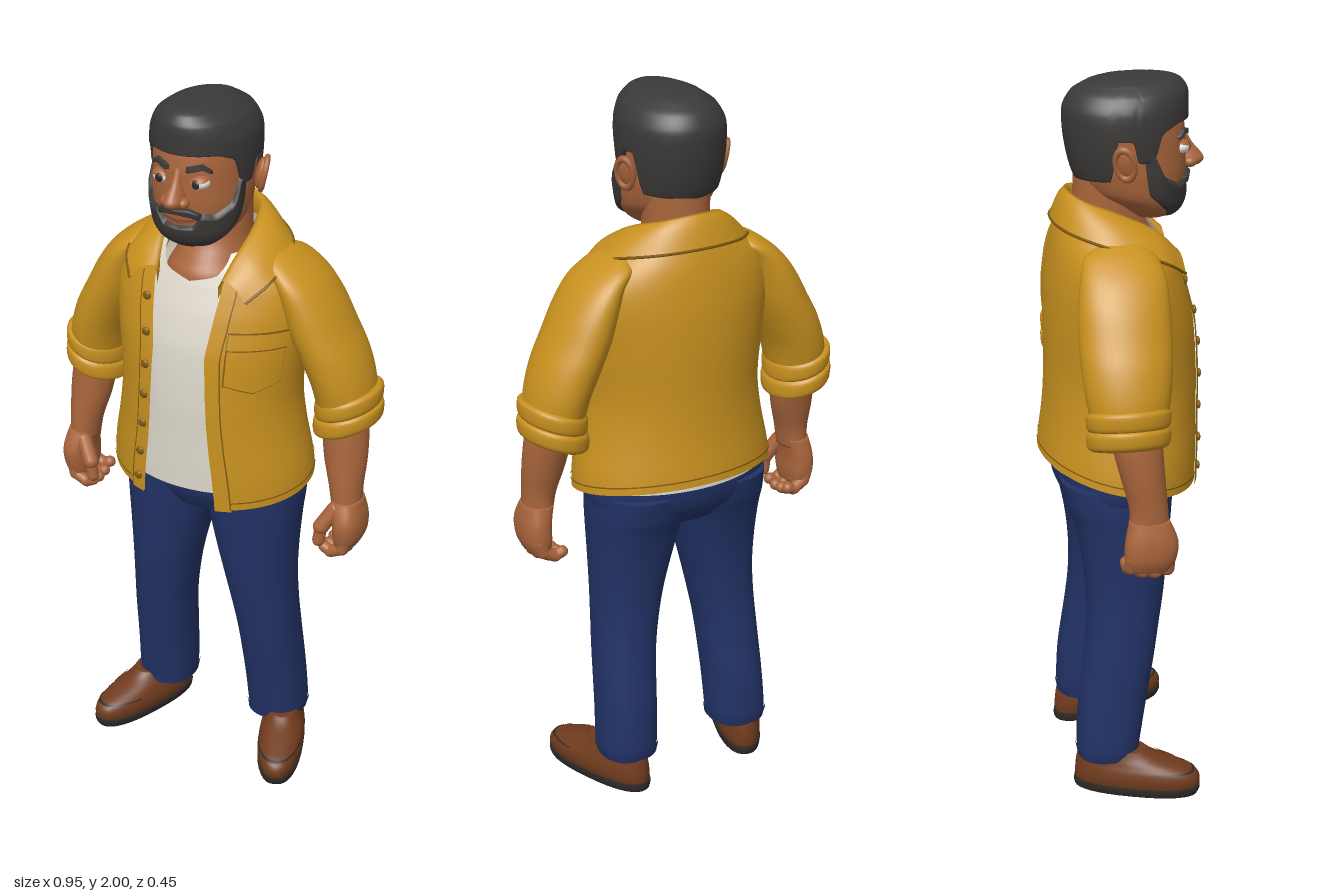
import * as THREE from 'three';
import { mergeVertices } from 'three/addons/utils/BufferGeometryUtils.js';

const { lerp, clamp } = THREE.MathUtils;
const V = (x, y, z) => new THREE.Vector3(x, y, z);

function paint(name, color, open) {
  const m = new THREE.MeshStandardMaterial({ color });
  m.name = name;
  if (open) m.side = THREE.DoubleSide;
  return m;
}

// Smooth surface from a rule fn(u, v) -> Vector3
function surface(fn, n, m) {
  const pos = [], idx = [];
  for (let j = 0; j <= m; j++) for (let i = 0; i <= n; i++) pos.push(...fn(i / n, j / m).toArray());
  for (let j = 0; j < m; j++) for (let i = 0; i < n; i++) {
    const a = j * (n + 1) + i, d = a + n + 1;
    idx.push(a, a + 1, d, a + 1, d + 1, d);
  }
  let g = new THREE.BufferGeometry();
  g.setAttribute('position', new THREE.Float32BufferAttribute(pos, 3));
  g.setIndex(idx);
  g = mergeVertices(g, 1e-4);
  g.computeVertexNormals();
  return g;
}

// A ring is [y, xMin, xMax, zBack, zFront]; rings run from bottom to top
const sym = rows => rows.map(([y, h, b, f]) => [y, -h, h, b, f]);
const side = (rows, s) => rows.map(([y, a, c, b, f]) => (s > 0 ? [y, a, c, b, f] : [y, -c, -a, b, f]));

function ringAt(rings, k) {
  const i = clamp(Math.floor(k), 0, rings.length - 2), f = k - i;
  return rings[0].map((_, c) => {
    const [p, q, r, s] = [i - 1, i, i + 1, i + 2].map(j => rings[clamp(j, 0, rings.length - 1)][c]);
    return 0.5 * (2 * q + (r - p) * f + (2 * p - 5 * q + 4 * r - s) * f * f + (3 * q - p - 3 * r + s) * f ** 3);
  });
}

// Angle 0 is the front, a quarter turn is +x
function ringPoint([y, x0, x1, z0, z1], t, off = 0, p = 2) {
  const e = v => Math.sign(v) * Math.abs(v) ** (2 / p);
  return V((x0 + x1) / 2 + ((x1 - x0) / 2 + off) * e(Math.sin(t)), y,
    (z0 + z1) / 2 + ((z1 - z0) / 2 + off) * e(Math.cos(t)));
}

// Closed body through the rings, with capped ends
function loft(rings, { n = 36, sub = 5, p = 2, tilt = 0 } = {}) {
  const m = (rings.length - 1) * sub + 2;
  return surface((u, v) => {
    const j = Math.round(v * m);
    const r = ringAt(rings, clamp((j - 1) / sub, 0, rings.length - 1));
    const cx = (r[1] + r[2]) / 2;
    const pt = j === 0 || j === m ? V(cx, r[0], (r[3] + r[4]) / 2) : ringPoint(r, u * Math.PI * 2, 0, p);
    pt.y += tilt * (pt.x - cx);
    return pt;
  }, n, m);
}

// Sheet lying over the rings between two angles and two heights
function patch(rings, { t, lo, hi, off = 0, n = 24, m = 8, p = 2, range = () => t }) {
  const val = (f, ...a) => (typeof f === 'function' ? f(...a) : f);
  return surface((u, v) => {
    const nominal = lerp(t[0], t[1], u);
    const y = lerp(val(lo, nominal), val(hi, nominal), v);
    let i = 0;
    while (i < rings.length - 2 && rings[i + 1][0] < y) i++;
    const r = ringAt(rings, i + (y - rings[i][0]) / (rings[i + 1][0] - rings[i][0]));
    r[0] = y;
    const [a, b] = range(y);
    return ringPoint(r, lerp(a, b, u), val(off, u, v), p);
  }, n, m);
}

// Piecewise height by angle, the same on both sides
const track = pts => t => {
  const a = Math.abs(Math.atan2(Math.sin(t), Math.cos(t)));
  let i = 0;
  while (i < pts.length - 2 && pts[i + 1][0] < a) i++;
  const [[a0, y0], [a1, y1]] = [pts[i], pts[i + 1]];
  return lerp(y0, y1, clamp((a - a0) / (a1 - a0), 0, 1));
};

export function createModel() {
  const model = new THREE.Group();
  const shirt = paint('mustard shirt', 0xc8911f, true), seam = paint('shirt seam', 0x80590f, true);
  const skin = paint('skin', 0xa9653c), hair = paint('hair', 0x3b3937, true);
  const tee = paint('white tee', 0xddd7cb, true), denim = paint('denim', 0x223266);
  const leather = paint('brown leather', 0x6f3b1d), sole = paint('dark sole', 0x2e2a28, true);
  const white = paint('eye white', 0xefeeea), lip = paint('lips', 0x8f4a35, true);
  const add = (name, geo, mat, parent = model) => {
    const mesh = new THREE.Mesh(geo, mat);
    mesh.name = name;
    parent.add(mesh);
    return mesh;
  };
  const group = (name, parent = model) => {
    const g = new THREE.Group();
    g.name = name;
    parent.add(g);
    return g;
  };
  const ball = (name, mat, parent, x, y, z, sx, sy, sz) => {
    const b = add(name, new THREE.SphereGeometry(1, 24, 16), mat, parent);
    b.position.set(x, y, z);
    b.scale.set(sx, sy, sz);
    return b;
  };
  const bone = (name, mat, parent, a, b, r) => {
    const c = add(name, new THREE.CapsuleGeometry(r, a.distanceTo(b), 6, 14), mat, parent);
    c.position.copy(a).lerp(b, 0.5);
    c.quaternion.setFromUnitVectors(V(0, 1, 0), b.clone().sub(a).normalize());
  };

  // Trousers
  const legRings = [[0.1, 0.105, 0.262, -0.145, 0.022], [0.13, 0.1, 0.268, -0.15, 0.026], [0.25, 0.095, 0.262, -0.145, 0.045],
    [0.4, 0.085, 0.255, -0.125, 0.07], [0.5, 0.07, 0.25, -0.115, 0.085], [0.6, 0.05, 0.247, -0.115, 0.1],
    [0.7, 0.025, 0.25, -0.125, 0.11], [0.8, 0.002, 0.255, -0.145, 0.12], [0.86, -0.01, 0.258, -0.165, 0.125],
    [0.93, -0.01, 0.255, -0.18, 0.13]];
  add('trouserSeat', loft(sym([[0.82, 0.2, -0.13, 0.1], [0.88, 0.255, -0.175, 0.13], [0.95, 0.262, -0.19, 0.135],
    [1.0, 0.25, -0.185, 0.15], [1.04, 0.245, -0.182, 0.18]]), { p: 2.3 }), denim);

  // Open shirt and tee over one torso form
  const torso = sym([[0.86, 0.292, -0.226, 0.21], [0.97, 0.288, -0.22, 0.212], [1.1, 0.265, -0.205, 0.212], [1.2, 0.255, -0.2, 0.212],
    [1.35, 0.268, -0.2, 0.2], [1.45, 0.275, -0.195, 0.175], [1.52, 0.265, -0.185, 0.15], [1.57, 0.23, -0.175, 0.13],
    [1.62, 0.165, -0.16, 0.1], [1.67, 0.115, -0.145, 0.075]]);
  const edgeX = [[0.88, 0.11, 0.29], [1.05, 0.095, 0.272], [1.2, 0.085, 0.255], [1.35, 0.078, 0.268], [1.47, 0.092, 0.272], [1.56, 0.095, 0.238]];
  const edgeAngle = track(edgeX.map(([y, x, h]) => [y, Math.asin(x / h)]));
  const hem = t => 0.93 - 0.04 * Math.cos(t);
  const full = 2 * Math.PI;
  add('shirtBody', patch(torso, {
    t: [0.36, full - 0.36], lo: hem, hi: track([[0.36, 1.545], [0.8, 1.6], [1.57, 1.655], [3.14, 1.66]]),
    range: y => [edgeAngle(y), full - edgeAngle(y)], n: 80, m: 40 }), shirt);
  add('hemStitch', patch(torso, {
    t: [0.4, full - 0.4], lo: t => hem(t) + 0.02, hi: t => hem(t) + 0.024, off: 0.003, n: 80, m: 1 }), seam);
  const neckline = track([[0, 1.525], [0.3, 1.545], [0.55, 1.6], [1, 1.615], [3.14, 1.62]]);
  add('teeBody', patch(torso, { t: [0, full], lo: t => 0.945 - 0.008 * Math.cos(t), hi: neckline, off: -0.014, n: 80, m: 30 }), tee);
  add('teeNeckband', patch(torso, { t: [-0.8, 0.8], lo: t => neckline(t) - 0.022, hi: neckline, off: -0.009, m: 3 }), tee);
  for (const s of [1, -1]) {
    const strip = (a, b) => y => (s > 0 ? [edgeAngle(y) + a, edgeAngle(y) + b] : [-edgeAngle(y) - b, -edgeAngle(y) - a]);
    add('placket', patch(torso, { t: [s * 0.35, s * 0.36], lo: 0.893, hi: 1.54, off: 0.006, range: strip(-0.01, 0.15), n: 6, m: 30 }), shirt);
    add('placketStitch', patch(torso, { t: [s * 0.35, s * 0.36], lo: 0.9, hi: 1.53, off: 0.008, range: strip(0.135, 0.15), n: 1, m: 30 }), seam);
  }
  for (const y of [0.94, 1.02, 1.11, 1.2, 1.29, 1.38, 1.47]) {
    const t = -edgeAngle(y) - 0.06;
    const k = torso.findIndex(r => r[0] > y) - 1;
    const r = ringAt(torso, k + (y - torso[k][0]) / (torso[k + 1][0] - torso[k][0]));
    const at = ringPoint(r, t, 0.009);
    ball('button', seam, model, at.x, y, at.z, 0.012, 0.012, 0.006);
  }
  // Chest pocket with flap
  const pocketLow = d => track([[0.5, 1.275 - d], [0.82, 1.252 - d], [1.15, 1.275 - d]]);
  add('pocketOutline', patch(torso, { t: [0.485, 1.165], lo: pocketLow(0.004), hi: 1.419, off: 0.004 }), seam);
  add('pocket', patch(torso, { t: [0.5, 1.15], lo: pocketLow(0), hi: 1.415, off: 0.007 }), shirt);
  add('flapOutline', patch(torso, { t: [0.49, 1.16], lo: 1.371, hi: 1.418, off: 0.009 }), seam);
  add('pocketFlap', patch(torso, { t: [0.49, 1.16], lo: 1.376, hi: 1.418, off: 0.012 }), shirt);

  // Folded collar between an upper and a lower edge
  const mirrored = pts => new THREE.CatmullRomCurve3(
    [...pts.slice(1).reverse().map(([x, y, z]) => V(-x, y, z)), ...pts.map(p => V(...p))]);
  const fold = mirrored([[0, 1.705, -0.138], [0.085, 1.69, -0.105], [0.117, 1.66, -0.02], [0.115, 1.61, 0.08], [0.1, 1.55, 0.142]]);
  const leaf = mirrored([[0, 1.622, -0.178], [0.12, 1.615, -0.148], [0.207, 1.592, -0.05], [0.212, 1.55, 0.085], [0.17, 1.505, 0.15]]);
  add('collar', surface((u, v) => {
    const a = fold.getPoint(u), b = leaf.getPoint(u);
    if (v < 0.25) return a.add(V(-a.x * 0.1, -0.2 * (0.25 - v), 0.004));
    const w = (v - 0.25) / 0.75;
    return a.lerp(b, w).add(V(0, 0.014 * Math.sin(Math.PI * w), 0));
  }, 64, 12), shirt);
  add('collarEdge', new THREE.TubeGeometry(leaf, 64, 0.004, 6), seam);

  // Neck and upper chest
  add('neck', loft(sym([[1.46, 0.15, -0.14, 0.13], [1.53, 0.12, -0.14, 0.124], [1.57, 0.1, -0.133, 0.1],
    [1.63, 0.09, -0.122, 0.068], [1.76, 0.09, -0.115, 0.05]])), skin);

  for (const s of [1, -1]) {
    const label = s > 0 ? 'left' : 'right';
    // Legs
    const rings = side(legRings, s);
    const leg = group(label + 'Leg');
    add('trouserLeg', loft(rings, { p: 2.3 }), denim, leg);
    add('trouserHem', patch(rings, { t: [0, full], lo: 0.1, hi: 0.135, off: 0.004, n: 36, m: 3, p: 2.3 }), denim, leg);
    add('sideSeam', patch(rings, { t: [s * 1.7 - 0.02, s * 1.7 + 0.02], lo: 0.14, hi: 0.92, off: 0.002, n: 1, m: 24, p: 2.3 }), denim, leg);

    // Loafers, toes turned out
    const shoe = group(label + 'Shoe');
    shoe.position.set(s * 0.23, 0, 0.005);
    shoe.rotation.y = s * 0.35;
    const upper = sym([[0.02, 0.061, -0.168, 0.184], [0.045, 0.066, -0.17, 0.188], [0.07, 0.063, -0.168, 0.172],
      [0.09, 0.056, -0.165, 0.12], [0.11, 0.05, -0.16, 0.06], [0.128, 0.046, -0.152, 0.03]]);
    add('shoeSole', loft(sym([[0, 0.061, -0.17, 0.182], [0.014, 0.065, -0.173, 0.188], [0.026, 0.065, -0.172, 0.188]]), { p: 2.4 }), sole, shoe);
    add('shoeUpper', loft(upper, { p: 2.3 }), leather, shoe);
    add('toeSeam', patch(upper, { t: [-1.2, 1.2], lo: 0.07, hi: 0.074, off: 0.002, m: 1, p: 2.3 }), sole, shoe);
    add('shoeStrap', patch(upper, { t: [-1.4, 1.4], lo: 0.09, hi: 0.106, off: 0.005, m: 4, p: 2.3 }), leather, shoe);

    // Sleeves and rolled cuffs
    const arm = group(label + 'Arm');
    add('sleeve', loft(side([[1.17, 0.305, 0.458, -0.135, 0.055], [1.25, 0.285, 0.45, -0.15, 0.07], [1.33, 0.25, 0.425, -0.157, 0.08],
      [1.4, 0.22, 0.388, -0.157, 0.085], [1.47, 0.2, 0.35, -0.152, 0.085], [1.53, 0.18, 0.305, -0.14, 0.08],
      [1.575, 0.15, 0.25, -0.12, 0.06], [1.6, 0.16, 0.205, -0.07, 0.02]], s)), shirt, arm);
    for (const [y, g] of [[1.115, 0], [1.165, -0.003]]) {
      add('cuffRoll', loft(side([[y, 0.305, 0.46, -0.138, 0.053], [y + 0.012, 0.294 - g, 0.473 + g, -0.15, 0.065],
        [y + 0.045, 0.294 - g, 0.473 + g, -0.152, 0.066], [y + 0.057, 0.305, 0.46, -0.14, 0.055]], s), { tilt: s * 0.3 }), shirt, arm);
    }
    add('forearm', loft(side([[0.9, 0.372, 0.452, -0.045, 0.06], [0.96, 0.36, 0.452, -0.046, 0.056], [1.04, 0.337, 0.455, -0.066, 0.05],
      [1.12, 0.325, 0.45, -0.085, 0.045], [1.18, 0.32, 0.44, -0.09, 0.04]], s)), skin, arm);
    // Hand with curled fingers
    add('palm', loft(side([[0.785, 0.39, 0.448, -0.05, 0.065], [0.82, 0.385, 0.463, -0.06, 0.077], [0.87, 0.383, 0.465, -0.058, 0.08],
      [0.925, 0.372, 0.453, -0.045, 0.058]], s), { p: 2.4 }), skin, arm);
    [-0.042, -0.01, 0.022, 0.054].forEach((z, i) => {
      const d = [0.012, 0, -0.004, 0.002][i];
      const path = [V(s * 0.432, 0.825, z), V(s * 0.422, 0.782 + d, z), V(s * 0.388, 0.764 + d, z - 0.002), V(s * 0.368, 0.772 + d, z - 0.004)];
      for (let k = 0; k < 3; k++) bone('finger', skin, arm, path[k], path[k + 1], 0.0185 - k * 0.001);
    });
    bone('thumbBase', skin, arm, V(s * 0.395, 0.9, 0.045), V(s * 0.363, 0.845, 0.065), 0.022);
    bone('thumbTip', skin, arm, V(s * 0.363, 0.845, 0.065), V(s * 0.357, 0.8, 0.066), 0.017);
  }

  // Head
  const head = group('head');
  head.position.x = -0.01;
  const skull = sym([[1.618, 0, 0.09, 0.09], [1.626, 0.05, 0.04, 0.13], [1.645, 0.083, 0.01, 0.154], [1.67, 0.105, -0.03, 0.166],
    [1.7, 0.12, -0.08, 0.171], [1.75, 0.128, -0.11, 0.178], [1.8, 0.129, -0.125, 0.178], [1.85, 0.129, -0.13, 0.176],
    [1.9, 0.125, -0.13, 0.166], [1.95, 0.1, -0.1, 0.14], [1.97, 0.03, -0.03, 0.08]]);
  add('face', loft(skull, { n: 48 }), skin, head);
  const scalp = sym([[1.7, 0.115, -0.1, 0.15], [1.75, 0.128, -0.122, 0.165], [1.8, 0.136, -0.136, 0.175], [1.86, 0.14, -0.145, 0.182],
    [1.92, 0.137, -0.145, 0.184], [1.96, 0.117, -0.122, 0.182], [1.985, 0.083, -0.08, 0.165], [1.996, 0.05, -0.04, 0.135], [2.0, 0, 0.045, 0.045]]);
  add('hair', patch(scalp, {
    t: [-Math.PI, Math.PI], hi: 2, n: 96, m: 48, off: (u, v) => (v === 0 ? -0.02 : 0),
    lo: track([[0, 1.885], [0.75, 1.885], [1.1, 1.865], [1.22, 1.79], [1.5, 1.79], [1.58, 1.85], [1.85, 1.85], [2.0, 1.74], [3.14, 1.73]]) }), hair, head);
  // Raised hair that sinks into the skin along its border
  const raised = h => (u, v) => lerp(-0.005, h, clamp(Math.min(u, 1 - u, v, 1 - v) * 8, 0, 1));
  add('beard', patch(skull, {
    t: [-1.55, 1.55], n: 72, m: 24, off: raised(0.012),
    lo: track([[0, 1.618], [0.9, 1.62], [1.25, 1.66], [1.55, 1.73]]),
    hi: track([[0, 1.697], [0.35, 1.702], [0.5, 1.738], [0.75, 1.732], [1.1, 1.757], [1.25, 1.82], [1.55, 1.84]]) }), hair, head);
  add('moustache', patch(skull, {
    t: [-0.56, 0.56], n: 32, m: 10, off: raised(0.013),
    lo: track([[0, 1.726], [0.3, 1.721], [0.56, 1.708]]), hi: track([[0, 1.744], [0.25, 1.748], [0.56, 1.73]]) }), hair, head);
  add('mouth', patch(skull, {
    t: [-0.42, 0.42], n: 20, m: 4, off: 0.004,
    lo: track([[0, 1.7], [0.42, 1.713]]), hi: track([[0, 1.712], [0.42, 1.717]]) }), lip, head);
  const nose = group('nose', head);
  add('noseBridge', loft(sym([[1.75, 0.012, 0.16, 0.205], [1.757, 0.024, 0.155, 0.222], [1.771, 0.027, 0.15, 0.229],
    [1.79, 0.021, 0.145, 0.216], [1.815, 0.015, 0.145, 0.195], [1.85, 0.014, 0.14, 0.178]])), skin, nose);
  for (const s of [1, -1]) {
    ball('nostril', skin, nose, s * 0.024, 1.765, 0.188, 0.016, 0.014, 0.018);
    ball('eyeWhite', white, head, s * 0.053, 1.815, 0.153, 0.026, 0.018, 0.026);
    ball('iris', sole, head, s * 0.052, 1.815, 0.175, 0.011, 0.012, 0.006);
    const lid = add('eyelid', new THREE.SphereGeometry(0.029, 24, 8, 0, full, 0, Math.PI * 0.34), skin, head);
    lid.position.set(s * 0.053, 1.815, 0.153);
    lid.scale.y = 0.75;
    lid.rotation.x = 0.25;
    add('eyebrow', patch(skull, {
      t: s > 0 ? [0.16, 0.72] : [-0.72, -0.16], n: 20, m: 8, off: raised(0.009),
      lo: track([[0.16, 1.839], [0.5, 1.85], [0.72, 1.836]]), hi: track([[0.16, 1.857], [0.5, 1.866], [0.72, 1.845]]) }), hair, head);
    // Ears
    const ear = group('ear', head);
    ear.position.set(s * 0.142, 1.8, -0.006);
    ear.rotation.set(-0.12, s * 0.45, -s * 0.15);
    ball('earBowl', skin, ear, 0, 0, 0, 0.014, 0.042, 0.028);
    const rim = add('earRim', new THREE.TorusGeometry(0.03, 0.008, 8, 28), skin, ear);
    rim.rotation.y = Math.PI / 2;
    rim.scale.set(0.85, 1.35, 1);
    rim.position.x = s * 0.008;
  }
  return model;
}
